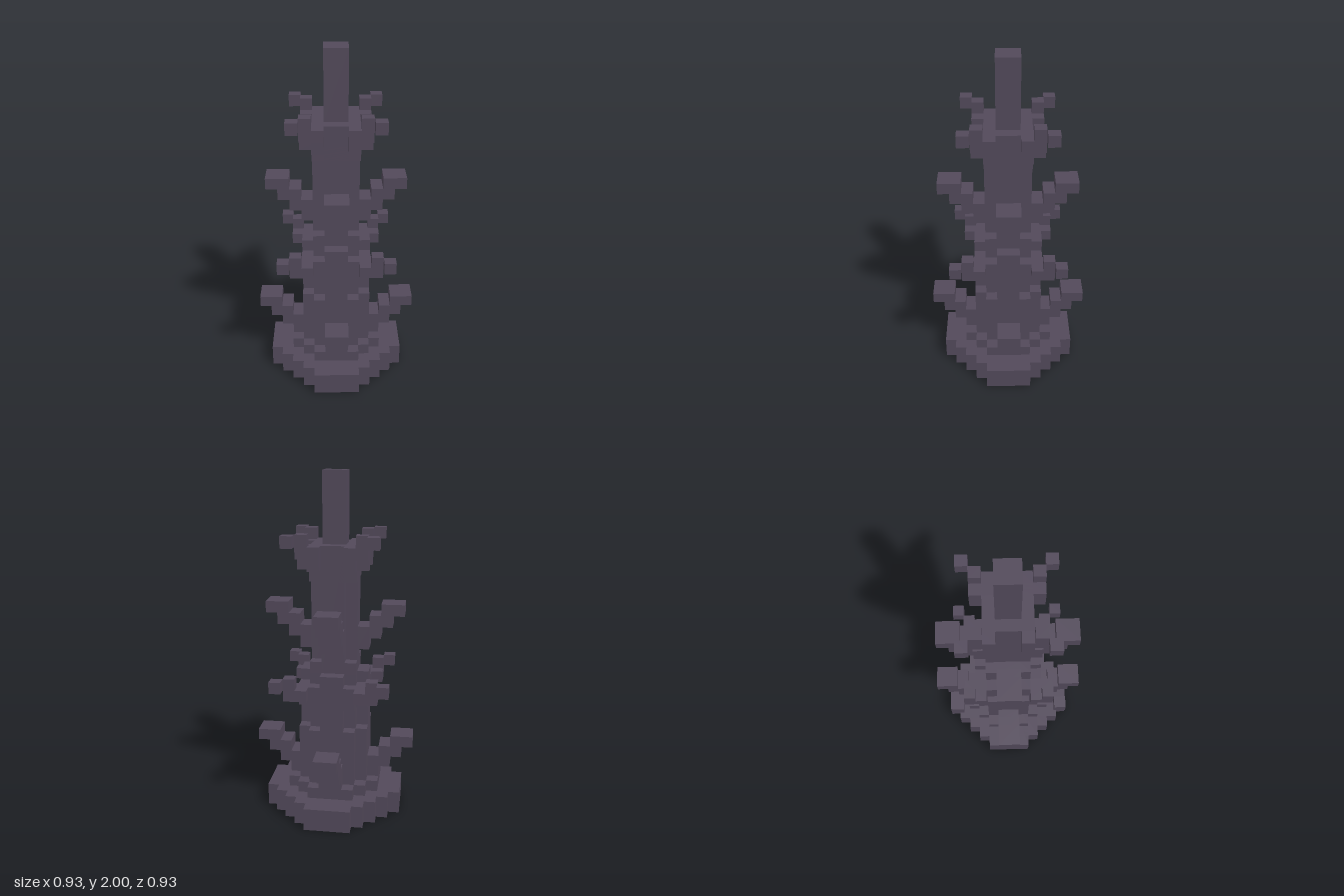
import * as THREE from 'three';

const U = 1 / 15; // one block

export function createModel() {
  const model = new THREE.Group();
  const stone = new THREE.MeshStandardMaterial({ color: 0x52495a });
  stone.name = 'dark purple stone';

  // Block between two corners, given in block units
  function box(parent, name, x0, x1, y0, y1, z0, z1) {
    const mesh = new THREE.Mesh(
      new THREE.BoxGeometry((x1 - x0) * U, (y1 - y0) * U, (z1 - z0) * U), stone);
    mesh.position.set((x0 + x1) / 2 * U, (y0 + y1) / 2 * U, (z0 + z1) / 2 * U);
    mesh.name = name;
    parent.add(mesh);
  }

  // Centred layer made of crossing blocks, each [half width, half depth]
  function layer(name, y0, y1, halves) {
    const group = new THREE.Group();
    group.name = name;
    for (const [w, d] of halves) {
      box(group, name + 'Block', -w, w, y0, y1, -d, d);
      if (w !== d) box(group, name + 'Block', -d, d, y0, y1, -w, w);
    }
    model.add(group);
  }

  // The same set of blocks repeated on four sides
  function fourfold(name, blocks) {
    for (let i = 0; i < 4; i++) {
      const group = new THREE.Group();
      group.name = name;
      for (const b of blocks) box(group, name + 'Block', ...b);
      group.rotation.y = i * Math.PI / 2;
      model.add(group);
    }
  }

  // Stepped round base and plinth
  layer('base', 0, 2, [[6, 2], [5, 3], [4, 4]]);
  layer('plinth', 2, 3, [[4, 2], [3, 3]]);

  // Lower trunk, with notched corners below its collar
  layer('lowerTrunk', 3, 13, [[3, 1], [2, 2]]);
  layer('lowerButtress', 3, 8, [[3, 2]]);
  layer('lowerCollar', 10, 12, [[3, 2]]);

  // Upper trunk: a cross with filled corners at its ends
  layer('upperTrunk', 13, 24, [[2, 1]]);
  layer('upperTrunkFoot', 13, 14, [[2, 2]]);
  layer('upperCollar', 21, 24, [[2, 2]]);
  layer('spire', 24, 30, [[1, 1]]);

  // Lower spikes climbing outward on each side
  fourfold('lowerSpike', [
    [-1, 1, 2, 5, 3, 4],
    [-1, 1, 4, 5, 3, 5],
    [-1, 1, 5, 6, 4, 6],
    [-1, 1, 6, 7, 5, 7],
  ]);

  // Upper spikes
  fourfold('upperSpike', [
    [-1, 1, 15, 17, 2, 3],
    [-1, 1, 16, 17, 2, 4],
    [-1, 1, 17, 18, 3, 5],
    [-1, 1, 18, 19, 4, 6],
  ]);

  // Lower diagonal branches
  fourfold('lowerBranch', [
    [2, 4, 11, 12, 2, 4],
    [3, 4, 12, 13, 3, 4],
    [4, 5, 12, 13, 4, 5],
  ]);

  // Upper diagonal branches
  fourfold('upperBranch', [
    [1, 3, 22, 23, 1, 2],
    [1, 2, 22, 23, 1, 3],
    [1, 3, 23, 24, 1, 3],
    [2, 3, 24, 25, 2, 3],
    [3, 4, 24, 25, 3, 4],
  ]);

  return model;
}
